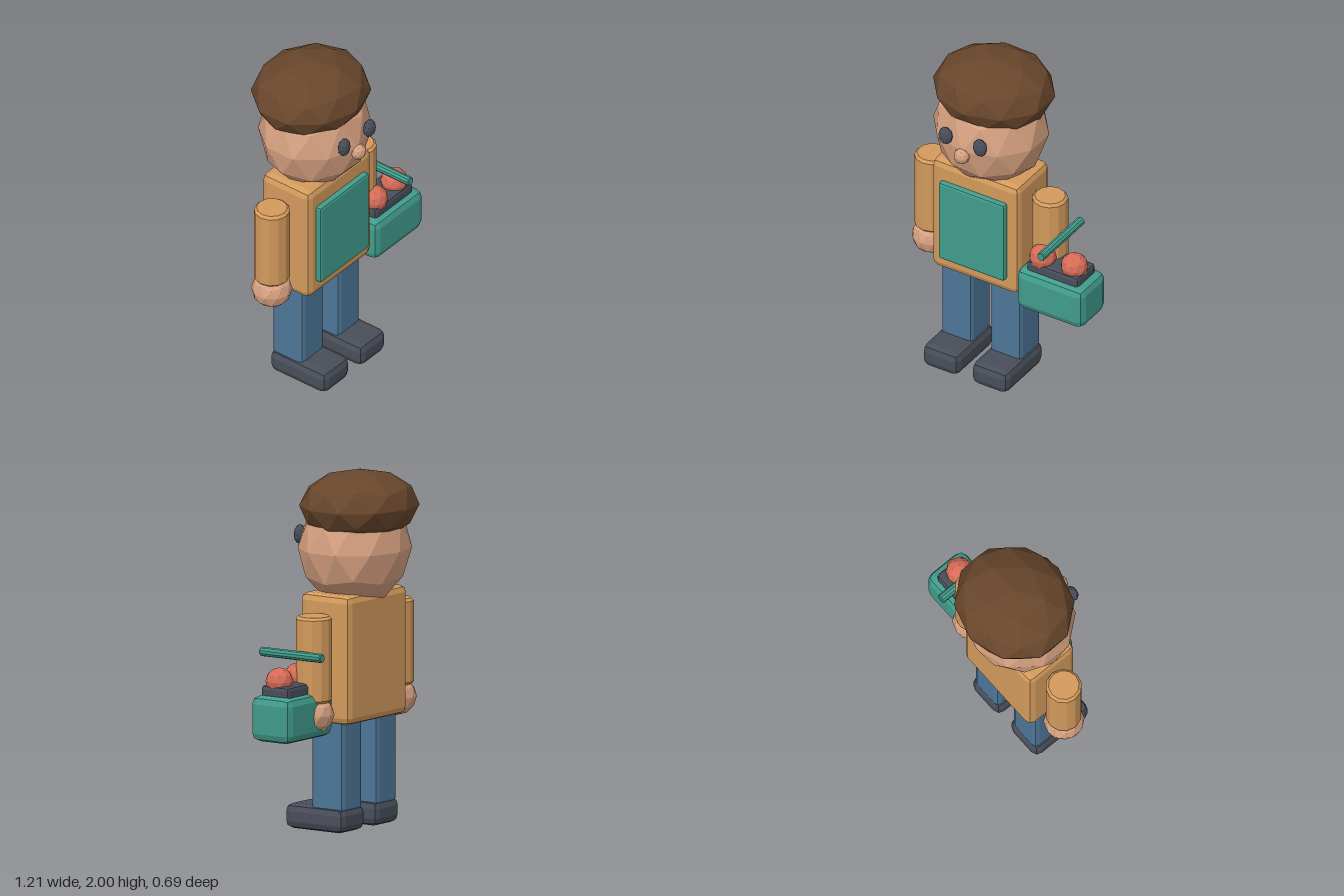
import * as THREE from 'three';
import { RoundedBoxGeometry } from 'three/addons/geometries/RoundedBoxGeometry.js';

function makeMaterial(name, color) {
  const m = new THREE.MeshStandardMaterial({ color });
  m.name = name;
  return m;
}

// Faceted normals: every triangle keeps its own
function faceted(geometry) {
  const g = geometry.index ? geometry.toNonIndexed() : geometry;
  g.computeVertexNormals();
  return g;
}

// Low-poly ball with a vertex at each pole, stretched to three radii
function ball(rx, ry = rx, rz = rx) {
  const g = new THREE.IcosahedronGeometry(1, 1);
  g.rotateX(-Math.atan((1 + Math.sqrt(5)) / 2));
  g.rotateY(Math.PI / 2);
  g.scale(rx, ry, rz);
  return faceted(g);
}

// Box with bevelled edges
function block(w, h, d, bevel) {
  return faceted(new RoundedBoxGeometry(w, h, d, 1, bevel));
}

// Upright rod with chamfered ends
function rod(radius, length, chamfer, sides) {
  const h = length / 2;
  const profile = [
    [0, -h], [radius - chamfer, -h], [radius, -h + chamfer],
    [radius, h - chamfer], [radius - chamfer, h], [0, h],
  ].map(([x, y]) => new THREE.Vector2(x, y));
  return faceted(new THREE.LatheGeometry(profile, sides));
}

export function createModel() {
  const skin = makeMaterial('skin', 0xd6a080);
  const shirt = makeMaterial('shirt orange', 0xd39a5c);
  const teal = makeMaterial('teal', 0x419c8c);
  const denim = makeMaterial('denim blue', 0x4d7698);
  const brown = makeMaterial('hair brown', 0x68462c);
  const dark = makeMaterial('dark slate', 0x484e59);
  const red = makeMaterial('apple red', 0xd66c57);

  const model = new THREE.Group();
  model.name = 'basketCarrier';

  const add = (parent, name, geometry, material, x, y, z) => {
    const mesh = new THREE.Mesh(geometry, material);
    mesh.name = name;
    mesh.position.set(x, y, z);
    parent.add(mesh);
    return mesh;
  };

  // Figure, standing off-centre to balance the basket
  const figure = new THREE.Group();
  figure.name = 'figure';
  figure.position.x = -0.108;
  model.add(figure);

  add(figure, 'torso', block(0.565, 0.72, 0.335, 0.04), shirt, 0, 0.972, 0.008);
  add(figure, 'apron', block(0.43, 0.51, 0.046, 0.015), teal, 0, 0.96, 0.187);
  add(figure, 'head', ball(0.333, 0.33, 0.305), skin, 0, 1.56, 0);
  add(figure, 'hair', ball(0.352, 0.2, 0.32), brown, 0, 1.8, -0.03);
  add(figure, 'nose', ball(0.046, 0.046, 0.042), skin, 0, 1.53, 0.303);

  // Paired limbs and eyes
  for (const [side, s] of [['left', 1], ['right', -1]]) {
    add(figure, side + 'Eye', ball(0.043, 0.055, 0.03), dark, s * 0.112, 1.62, 0.292);
    add(figure, side + 'Arm', rod(0.1, 0.48, 0.015, 12), shirt, s * 0.383, 0.99, 0);
    add(figure, side + 'Hand', ball(0.113, 0.107, 0.115), skin, s * 0.385, 0.68, 0);
    add(figure, side + 'Leg', block(0.2, 0.54, 0.215, 0.03), denim, s * 0.16, 0.38, 0.006);
    add(figure, side + 'Shoe', block(0.235, 0.14, 0.395, 0.042), dark, s * 0.16, 0.074, 0.088);
  }

  // Basket of apples
  const basket = new THREE.Group();
  basket.name = 'basket';
  basket.position.x = 0.388;
  model.add(basket);

  add(basket, 'basketBody', block(0.435, 0.255, 0.265, 0.045), teal, 0, 0.682, 0.068);
  add(basket, 'basketLiner', block(0.335, 0.09, 0.187, 0.02), dark, 0, 0.82, 0.067);
  add(basket, 'basketHandle', rod(0.026, 0.415, 0.005, 10), teal, 0, 1.02, 0.068).rotation.x = Math.PI / 2;
  add(basket, 'innerApple', ball(0.077), red, -0.098, 0.885, 0.098);
  add(basket, 'outerApple', ball(0.077), red, 0.097, 0.885, 0.082);

  return model;
}
